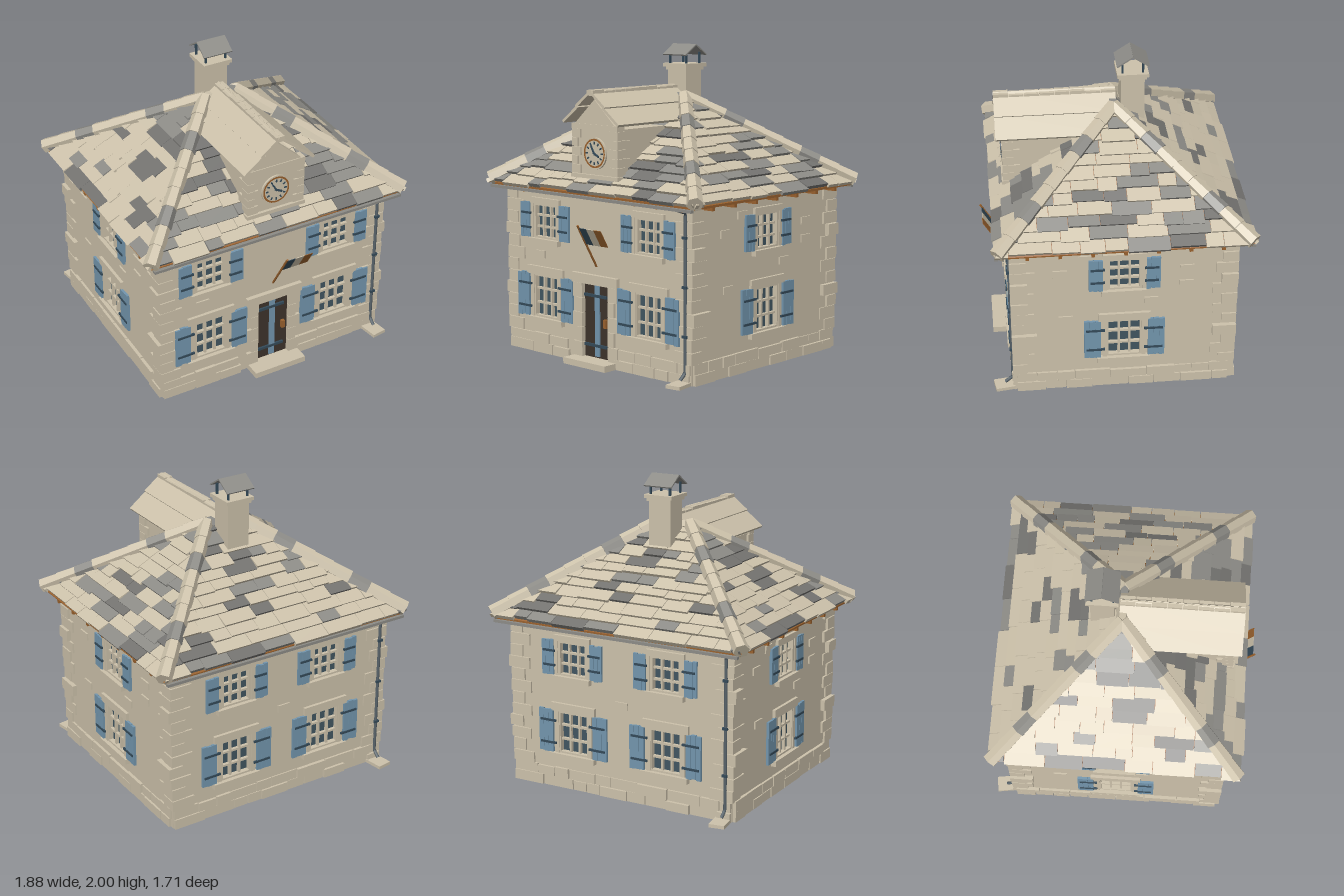
import * as THREE from 'three';
import { mergeGeometries } from 'three/addons/utils/BufferGeometryUtils.js';

const mat = (name, color, side = THREE.FrontSide) => Object.assign(new THREE.MeshStandardMaterial({ color, side }), { name });
const M = {
  stone: mat('pale stone', 0xcdc2ab), slate: mat('grey slate', 0x8d8c87), dark: mat('dark slate', 0x747370),
  blue: mat('shutter blue', 0x7396ae), iron: mat('blue iron', 0x344a59), glass: mat('window glass', 0x415661),
  wood: mat('warm timber', 0x9a622e), door: mat('door brown', 0x3d332b), cloth: mat('pale cloth', 0xcdc2ab, THREE.DoubleSide),
  pipe: mat('pipe grey', 0x59646b),
};
let seed = 7;
const rand = (a = 0, b = 1) => { seed = (seed * 16807) % 2147483647; return a + (b - a) * seed / 2147483647; };

const HX = 0.8, HZ = 0.7, EAVE = 1.1, RUN = 0.79, RISE = 0.56;

function mesh(parent, name, geo, material) {
  const m = new THREE.Mesh(geo, material);
  m.name = name;
  parent.add(m);
  return m;
}
// box given by its min and max on each axis
function span(x0, x1, y0, y1, z0, z1) {
  return new THREE.BoxGeometry(x1 - x0, y1 - y0, z1 - z0).translate((x0 + x1) / 2, (y0 + y1) / 2, (z0 + z1) / 2);
}
const merged = (parent, name, geos, material) => geos.length && mesh(parent, name, mergeGeometries(geos), material);
function group(parent, name) {
  const g = new THREE.Group();
  g.name = name;
  parent.add(g);
  return g;
}

// window with stone surround, glazing bars and two shutters; wall plane is z = 0
function addWindow(wall, x, y0, y1, big) {
  const g = group(wall, 'window');
  g.position.x = x;
  const w = 0.11, sw = big ? 0.053 : 0.044, sx = big ? 0.203 : 0.18, lw = big ? 0.165 : 0.135;
  mesh(g, 'glass', span(-w - 0.012, w + 0.012, y0 - 0.01, y1 + 0.01, -0.034, -0.026), M.glass);
  const bars = [span(-w, w, y0, y0 + 0.012, -0.026, 0.008), span(-w, w, y1 - 0.012, y1, -0.026, 0.008)];
  const edge = big ? 0.1 : 0.092;
  for (const s of [-1, 1]) {
    bars.push(span(s < 0 ? -w : edge, s < 0 ? -edge : w, y0, y1, -0.026, 0.009));
    bars.push(span(s * 0.034 - 0.007, s * 0.034 + 0.007, y0, y1, -0.026, -0.004));
    const yb = (y0 + y1) / 2 + s * (y1 - y0) / 6;
    bars.push(span(-w, w, yb - 0.007, yb + 0.007, -0.026, -0.005));
  }
  merged(g, 'windowFrame', bars, M.stone);
  merged(g, 'windowSurround', [
    span(-lw, lw, y1, y1 + (big ? 0.055 : 0.04), -0.02, 0.02), span(-lw - 0.01, lw, y0 - 0.035, y0, -0.02, 0.035),
    span(-0.138, -w, y0, y1, -0.02, 0.014), span(w, 0.138, y0, y1, -0.02, 0.014)], M.stone);
  const planks = [], straps = [];
  for (const s of [-1, 1]) {
    const c = s * sx;
    for (let i = -1; i <= 1; i++) {
      const px = c + i * sw * 0.67, j = rand(-0.004, 0.004);
      planks.push(span(px - sw * 0.32, px + sw * 0.32, y0 + j, y1 + 0.004 + j, 0.006, 0.022));
    }
    planks.push(span(c - sw * 0.9, c + sw * 0.9, y0 + 0.01, y1 - 0.01, 0.002, 0.017));
    for (const y of [y0 + 0.065, y1 - 0.065]) {
      straps.push(span(Math.min(s * 0.125, c + s * sw * 0.75), Math.max(s * 0.125, c + s * sw * 0.75), y - 0.007, y + 0.007, 0.016, 0.028));
    }
  }
  merged(g, 'shutters', planks, M.blue);
  merged(g, 'shutterStraps', straps, M.iron);
}

// one wall with real openings, plinth stones and a few proud stones
function addWall(house, name, turn, dist, half, columns, hasDoor, proud) {
  const wall = group(house, name);
  wall.rotation.y = turn;
  wall.position.set(Math.sin(turn) * dist, 0, Math.cos(turn) * dist);
  const rect = (T, x0, x1, y0, y1) => new T([[x0, y0], [x1, y0], [x1, y1], [x0, y1]].map(p => new THREE.Vector2(...p)));
  const shape = rect(THREE.Shape, -half, half, 0, EAVE);
  for (const x of columns) for (const [y0, y1, big] of [[0.235, 0.515, true], [0.755, 0.98, false]]) {
    shape.holes.push(rect(THREE.Path, x - 0.11, x + 0.11, y0, y1));
    addWindow(wall, x, y0, y1, big);
  }
  if (hasDoor) shape.holes.push(rect(THREE.Path, -0.118, 0.118, 0.02, 0.515));
  mesh(wall, 'wallPanel', new THREE.ExtrudeGeometry(shape, { depth: 0.03, bevelEnabled: false }).translate(0, 0, -0.03), M.stone);
  const stones = proud.map(([x, y]) => span(x - 0.045, x + 0.045, y - 0.024, y + 0.024, -0.04, 0.01));
  for (let row = 0; row < 2; row++) {
    for (let x = -half; x < half - 0.03;) {
      const end = Math.min(half, x + rand(0.1, 0.24));
      if (!hasDoor || end < -0.17 || x > 0.17) {
        stones.push(span(x + 0.003, end - 0.003, row * 0.066, row * 0.066 + rand(0.058, 0.068), -0.04, rand(0.008, 0.022)));
      }
      x = end;
    }
  }
  merged(wall, 'plinthStones', stones, M.stone);
  return wall;
}

function addDoor(wall) {
  const g = group(wall, 'frontDoor');
  mesh(g, 'doorLeaf', span(-0.118, 0.118, 0.02, 0.515, -0.032, -0.01), M.door);
  mesh(g, 'doorCentreStrip', span(-0.02, 0.02, 0.05, 0.512, -0.01, -0.001), M.blue);
  merged(g, 'doorStraps', [0.44, 0.12].map(y => span(-0.11, 0.085, y - 0.009, y + 0.009, -0.01, 0.003)), M.iron);
  mesh(g, 'doorHandle', span(0.066, 0.09, 0.245, 0.3, -0.01, 0.012), M.wood);
  const stones = [span(-0.2, 0.2, 0.515, 0.577, -0.03, 0.028)];
  for (const s of [-1, 1]) for (let i = 0; i < 5; i++) {
    const out = i % 2 ? 0.165 : 0.195;
    stones.push(span(s < 0 ? -out : 0.114, s < 0 ? -0.114 : out, 0.04 + i * 0.095, 0.132 + i * 0.095, -0.03, 0.02));
  }
  merged(g, 'doorSurround', stones, M.stone);
  mesh(g, 'doorStep', span(-0.185, 0.185, 0, 0.04, -0.02, 0.12), M.stone);
}

function addFlag(wall) {
  const g = group(wall, 'flag');
  g.position.set(0, 0.63, 0);
  g.rotation.x = Math.atan2(0.165, 0.28);
  mesh(g, 'flagPole', new THREE.CylinderGeometry(0.007, 0.007, 0.325, 8).translate(0, 0.1625, 0), M.wood);
  [M.iron, M.cloth, M.wood].forEach((m, i) =>
    mesh(g, 'flagBand', span(0.004 + i * 0.063, 0.067 + i * 0.063, 0.18, 0.305, -0.002, 0.002), m));
}

// random beige or grey stone; pale is the share of beige
const pick = pale => { const r = rand(); return r < pale ? 'stone' : r < pale + (1 - pale) * 0.6 ? 'slate' : 'dark'; };

// one slope of slabs; every corner is held inside the hip lines
function addSlope(roof, turn, edge, half, pale) {
  const slope = group(roof, 'roofSlope');
  slope.rotation.y = turn;
  const len = Math.hypot(RUN, RISE), rows = 12, step = RUN / rows, sets = { stone: [], slate: [], dark: [] };
  for (let r = 0; r < rows; r++) {
    const limit = half - r * step;
    for (let u = -limit - rand(0, 0.08); u < limit;) {
      const w = rand(0.1, 0.27), geo = new THREE.BoxGeometry(1, 1, 1), p = geo.attributes.position;
      const low = r * step + rand(-0.012, 0.01), lift = rand(0.02, 0.03);
      for (let i = 0; i < p.count; i++) {
        const d = p.getZ(i) > 0 ? low : Math.min(RUN, (r + 1) * step + 0.012), L = Math.max(0, half - d);
        const h = p.getY(i) < 0 ? -0.002 : p.getZ(i) > 0 ? lift : 0.008;
        const x = THREE.MathUtils.clamp(p.getX(i) < 0 ? u + 0.002 : u + w - 0.002, -L, L);
        p.setXYZ(i, x, EAVE + d * RISE / RUN + h * RUN / len, edge - d + h * RISE / len);
      }
      geo.computeVertexNormals();
      sets[pick(pale)].push(geo);
      u += w;
    }
  }
  for (const k in sets) merged(slope, k + 'RoofSlabs', sets[k], M[k]);
}

// overlapping six-sided cap stones from a (low) to b (high)
function addCaps(parent, name, a, b, count, r) {
  const dir = b.clone().sub(a), len = dir.length() / count;
  const q = new THREE.Quaternion().setFromUnitVectors(new THREE.Vector3(0, 1, 0), dir.clone().normalize());
  for (let i = 0; i < count; i++) {
    const geo = new THREE.CylinderGeometry(r * 0.88, r, len * 1.12, 6).toNonIndexed();
    geo.computeVertexNormals();
    const cap = mesh(parent, name, geo, i % 4 === 2 ? M.slate : M.stone);
    cap.position.copy(a).addScaledVector(dir, (i + 0.5) / count);
    cap.quaternion.copy(q);
  }
}

function addDormer(house) {
  const g = group(house, 'clockDormer');
  mesh(g, 'dormerWalls', span(-0.185, 0.185, 1.19, 1.5, 0, 0.7), M.stone);
  const tri = new THREE.Shape([[-0.2, 1.5], [0.2, 1.5], [0, 1.68]].map(p => new THREE.Vector2(...p)));
  mesh(g, 'pediment', new THREE.ExtrudeGeometry(tri, { depth: 0.05, bevelEnabled: false }).translate(0, 0, 0.66), M.stone);
  const stones = [span(-0.205, 0.205, 1.185, 1.21, 0.6, 0.72), span(-0.2, 0.2, 1.49, 1.525, 0.65, 0.716)];
  for (const s of [-1, 1]) for (let i = 0; i < 5; i++) {
    const inner = i % 2 ? 0.15 : 0.125;
    stones.push(span(s < 0 ? -0.2 : inner, s < 0 ? -inner : 0.2, 1.212 + i * 0.056, 1.265 + i * 0.056, i % 2 ? 0.6 : 0.64, 0.712));
  }
  merged(g, 'dormerQuoins', stones, M.stone);
  const angle = Math.atan2(0.185, 0.24), slabs = [];
  for (const s of [-1, 1]) for (let i = 0; i < 2; i++) {
    slabs.push(new THREE.BoxGeometry(0.17, 0.018, 0.77).rotateZ(-s * angle)
      .translate(s * (0.175 - i * 0.115), 1.584 + i * 0.1, 0.365));
  }
  merged(g, 'dormerRoofSlabs', slabs, M.stone);
  const ridge = [];
  for (let i = 0; i < 8; i++) ridge.push(span(-0.03, 0.03, 1.705, rand(1.73, 1.742), -0.02 + i * 0.0965, 0.073 + i * 0.0965));
  merged(g, 'dormerRidgeStones', ridge, M.stone);

  const clock = group(g, 'clock');
  clock.position.set(0, 1.345, 0.7);
  const disc = (r, d) => new THREE.CylinderGeometry(r, r, d, 32).rotateX(Math.PI / 2);
  mesh(clock, 'clockFace', disc(0.1, 0.024), M.stone);
  mesh(clock, 'timberRing', new THREE.RingGeometry(0.08, 0.092, 32).translate(0, 0, 0.0135), M.wood);
  const ticks = [];
  for (let i = 0; i < 12; i++) ticks.push(span(-0.0045, 0.0045, 0.055, 0.073, 0.01, 0.016).rotateZ(i * Math.PI / 6));
  merged(clock, 'hourMarks', ticks, M.iron);
  merged(clock, 'clockHands', [span(-0.005, 0.005, -0.01, 0.052, 0.011, 0.019).rotateZ(0.55),
    span(-0.006, 0.006, -0.01, 0.045, 0.011, 0.018).rotateZ(-2.05)], M.iron);
}

function addChimney(house) {
  const g = group(house, 'chimney');
  g.position.z = -0.125;
  merged(g, 'chimneyStack', [span(-0.078, 0.078, 1.4, 1.85, -0.075, 0.075),
    span(-0.088, 0.088, 1.83, 1.852, -0.088, 0.088), span(-0.1, 0.1, 1.85, 1.873, -0.1, 0.1)], M.stone);
  const posts = [], slabs = [], tilt = Math.atan2(0.065, 0.1);
  for (const s of [-1, 1]) {
    for (const x of [-0.07, 0.07]) posts.push(span(x - 0.006, x + 0.006, 1.87, 1.945, s * 0.065 - 0.006, s * 0.065 + 0.006));
    slabs.push(new THREE.BoxGeometry(0.2, 0.009, 0.122).rotateX(s * tilt).translate(0, 1.9615, s * 0.05));
  }
  merged(g, 'hoodPosts', posts, M.iron);
  merged(g, 'chimneyHood', slabs, M.slate);
}

export function createModel() {
  const model = new THREE.Group();
  model.name = 'stoneHouse';
  const house = group(model, 'house');
  house.position.z = -0.02;
  const Q = Math.PI / 2;
  const front = addWall(house, 'frontWall', 0, HZ, HX, [-0.455, 0.455], true, [[-0.51, 0.65]]);
  addWall(house, 'backWall', 2 * Q, HZ, HX, [-0.34, 0.34], false, [[0.02, 0.62]]);
  const spots = [[-0.4, 0.89], [-0.37, 0.54], [0.17, 0.655], [0.39, 0.885], [0.39, 0.77], [-0.24, 0.99]];
  addWall(house, 'leftWall', Q, HX, HZ - 0.01, [0], false, spots);
  addWall(house, 'rightWall', -Q, HX, HZ - 0.01, [0], false, spots);
  addDoor(front);
  addFlag(front);

  // corner quoins, long and short by turns
  const quoins = [];
  for (const sx of [-1, 1]) for (const sz of [-1, 1]) for (let i = 0; i < 12; i++) {
    const o = i % 5 === 3 ? 0.03 : rand(0.008, 0.018), lx = (i % 2 ? 0.09 : 0.14) + rand(0, 0.02), lz = (i % 2 ? 0.14 : 0.09) + rand(0, 0.02);
    quoins.push(new THREE.BoxGeometry(lx, rand(0.07, 0.077), lz)
      .translate(sx * (HX + o - lx / 2), 0.165 + i * 0.079, sz * (HZ + 0.012 - lz / 2)));
  }
  merged(house, 'cornerQuoins', quoins, M.stone);

  // roof: timber deck, eaves boards and rafter ends, slabs and hip caps
  const roof = group(house, 'roof');
  const deck = new THREE.BufferGeometry(), a = 0.11, ex = a + RUN, ez = RUN, y1 = EAVE + RISE;
  deck.setAttribute('position', new THREE.Float32BufferAttribute([-ex, EAVE, ez, ex, EAVE, ez, ex, EAVE, -ez,
    -ex, EAVE, -ez, -a, y1, 0, a, y1, 0], 3));
  deck.setIndex([0, 1, 5, 0, 5, 4, 1, 2, 5, 2, 3, 4, 2, 4, 5, 3, 0, 4]);
  const flatDeck = deck.toNonIndexed();
  flatDeck.computeVertexNormals();
  mesh(roof, 'roofDeck', flatDeck, M.wood);
  const timber = [span(-0.887, 0.887, 1.082, 1.1, -0.777, 0.777)];
  for (const s of [-1, 1]) for (let i = -4; i <= 4; i++) {
    timber.push(new THREE.BoxGeometry(0.022, 0.026, 0.08).translate(i * 0.195, 1.073, s * 0.735));
    if (Math.abs(i) < 4) timber.push(new THREE.BoxGeometry(0.08, 0.026, 0.022).translate(s * 0.845, 1.073, i * 0.2));
  }
  merged(roof, 'timberEaves', timber, M.wood);
  [0.52, 0.6, 0.68, 0.6].forEach((pale, i) => addSlope(roof, i * Q, i % 2 ? ex : ez, i % 2 ? ez : ex, pale));
  for (const sx of [-1, 1]) for (const sz of [-1, 1]) {
    addCaps(roof, 'hipCap', new THREE.Vector3(sx * 0.895, 1.122, sz * 0.78), new THREE.Vector3(sx * 0.11, 1.664, 0), 9, 0.051);
  }
  addCaps(roof, 'ridgeCap', new THREE.Vector3(-0.13, 1.655, 0), new THREE.Vector3(0.13, 1.655, 0), 3, 0.045);
  addDormer(house);
  addChimney(house);

  // gutters, downpipes and splash stones, front left and back right
  for (const turn of [0, 2 * Q]) {
    const g = group(house, 'rainwater');
    g.rotation.y = turn;
    mesh(g, 'gutter', span(-0.88, 0.88, 1.066, 1.084, 0.775, 0.8), M.slate);
    const path = new THREE.CurvePath();
    const pts = [[1.072, 0.78], [1.05, 0.712], [0.08, 0.712], [0.04, 0.76]].map(([y, z]) => new THREE.Vector3(0.76, y, z));
    for (let i = 0; i < 3; i++) path.add(new THREE.LineCurve3(pts[i], pts[i + 1]));
    mesh(g, 'downpipe', new THREE.TubeGeometry(path, 48, 0.011, 8), M.pipe);
    merged(g, 'pipeBrackets', [0.3, 0.6, 0.9].map(y => span(0.743, 0.777, y - 0.008, y + 0.008, 0.69, 0.727)), M.iron);
    mesh(g, 'splashStone', new THREE.BoxGeometry(0.1, 0.022, 0.13).rotateY(0.15).translate(0.755, 0.012, 0.765), M.stone);
  }
  return model;
}
